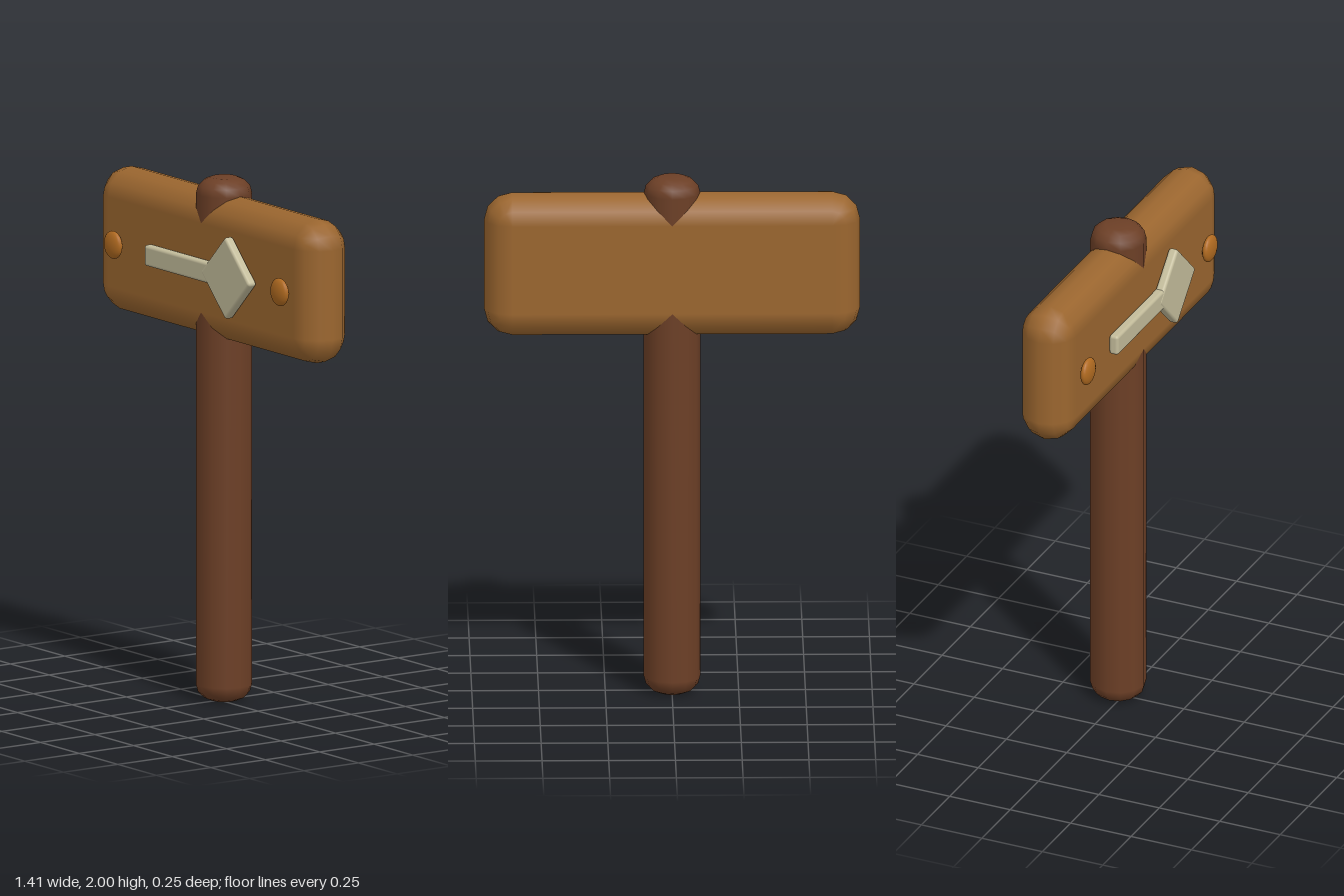
import * as THREE from 'three';
import { RoundedBoxGeometry } from 'three/addons/geometries/RoundedBoxGeometry.js';

const R = 0.106; // shared radius of the post and of the board's rounded edge
const CENTRE_Z = -0.021;

const material = (name, color) => {
  const m = new THREE.MeshStandardMaterial({ color });
  m.name = name;
  return m;
};

// Fully rounded slab: a sphere of radius r swept over a rectangle in the xy plane
function roundedSlab(width, height, r, steps) {
  const hx = width / 2 - r, hy = height / 2 - r;
  const ring = 4 * (steps + 1), rings = 2 * steps + 1;
  const pos = [], nor = [], idx = [];
  for (let i = 0; i < rings; i++) {
    const lat = -Math.PI / 2 + (i / (rings - 1)) * Math.PI;
    for (let q = 0; q < 4; q++) {
      const sx = q === 0 || q === 3 ? 1 : -1, sy = q < 2 ? 1 : -1;
      for (let k = 0; k <= steps; k++) {
        const a = (q + k / steps) * Math.PI / 2;
        const n = [Math.cos(lat) * Math.cos(a), Math.cos(lat) * Math.sin(a), Math.sin(lat)];
        pos.push(sx * hx + r * n[0], sy * hy + r * n[1], r * n[2]);
        nor.push(...n);
      }
    }
  }
  for (let i = 0; i < rings - 1; i++) {
    for (let j = 0; j < ring; j++) {
      const a = i * ring + j, b = i * ring + (j + 1) % ring;
      idx.push(a, b, b + ring, a, b + ring, a + ring);
    }
  }
  // flat back and front faces
  const c = [0, 1, 2, 3].map((q) => q * (steps + 1));
  const f = c.map((v) => v + (rings - 1) * ring);
  idx.push(c[0], c[2], c[1], c[0], c[3], c[2], f[0], f[1], f[2], f[0], f[2], f[3]);
  const g = new THREE.BufferGeometry();
  g.setAttribute('position', new THREE.Float32BufferAttribute(pos, 3));
  g.setAttribute('normal', new THREE.Float32BufferAttribute(nor, 3));
  g.setIndex(idx);
  return g;
}

export function createModel() {
  const sign = new THREE.Group();
  sign.name = 'signpost';
  const darkWood = material('dark wood', 0x6c3f26);
  const boardWood = material('board wood', 0x9b662f);
  const paleMetal = material('pale arrow', 0xc3bc9b);
  const bronze = material('bronze', 0xb06a20);

  const add = (name, geometry, mat, x, y, z, parent = sign) => {
    const mesh = new THREE.Mesh(geometry, mat);
    mesh.name = name;
    mesh.position.set(x, y, z);
    parent.add(mesh);
    return mesh;
  };

  // Post with softened ends
  const end = [[0, 0], [0.05, 0], [0.078, 0.012], [0.098, 0.032], [R, 0.062]];
  const profile = [...end, ...end.map(([r, y]) => [r, 2 - y]).reverse()]
    .map(([r, y]) => new THREE.Vector2(r, y));
  add('post', new THREE.LatheGeometry(profile, 12), darkWood, 0, 0, CENTRE_Z);

  // Board
  add('board', roundedSlab(1.41, 0.553, R, 3), boardWood, 0, 1.664, CENTRE_Z);

  // Arrow: shaft and diamond head
  const arrow = new THREE.Group();
  arrow.name = 'arrow';
  arrow.position.set(0, 1.664, 0.106);
  sign.add(arrow);
  add('arrowShaft', new RoundedBoxGeometry(0.535, 0.08, 0.038, 2, 0.012), paleMetal, -0.048, 0, 0, arrow);
  const head = add('arrowHead', new RoundedBoxGeometry(0.226, 0.226, 0.038, 2, 0.012), paleMetal, 0.212, 0, 0.002, arrow);
  head.rotation.z = Math.PI / 4;

  // Flattened bolt heads
  for (const side of [-1, 1]) {
    const bolt = add(side > 0 ? 'leftBolt' : 'rightBolt', new THREE.SphereGeometry(0.053, 20, 14),
      bronze, side * 0.538, 1.664, 0.106);
    bolt.scale.z = 0.39;
  }
  return sign;
}
